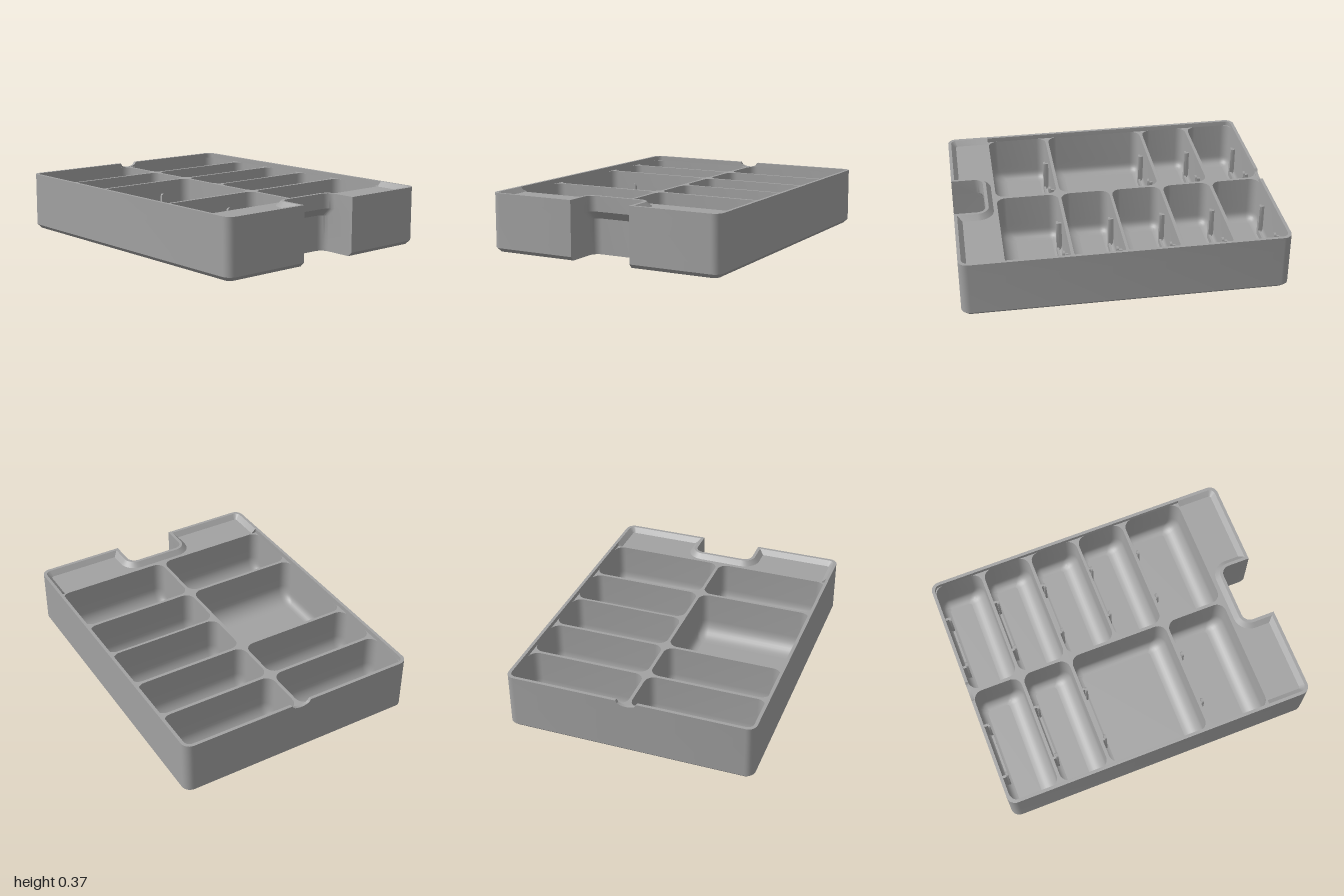
import * as THREE from 'three';
import { toCreasedNormals } from 'three/addons/utils/BufferGeometryUtils.js';

const grey = new THREE.MeshStandardMaterial({ color: 0xa2a2a2 });
grey.name = 'grey plastic';

const TOP = 0.365, DECK = 0.335, FLOOR = 0.03;
const HALF_X = 0.775, HALF_Z = 1;
const P = (x, y, z) => new THREE.Vector3(x, y, z);

function addMesh(parent, name, geometry) {
  const mesh = new THREE.Mesh(geometry, grey);
  mesh.name = name;
  parent.add(mesh);
  return mesh;
}

// Quarter arc in plan, angles in quarter turns
function arc(cx, cz, r, q0, q1, y, n = 7) {
  return Array.from({ length: n + 1 }, (_, i) => {
    const a = (q0 + (q1 - q0) * i / n) * Math.PI / 2;
    return P(cx + r * Math.cos(a), y, cz + r * Math.sin(a));
  });
}

// Skin over rings that share one point count
function loft(rings, closed = true) {
  const n = rings[0].length, index = [];
  for (let j = 0; j < rings.length - 1; j++) {
    for (let i = 0; i < (closed ? n : n - 1); i++) {
      const k = (i + 1) % n;
      const a = j * n + i, b = a + n, c = (j + 1) * n + k, d = j * n + k;
      index.push(a, b, c, a, c, d);
    }
  }
  const g = new THREE.BufferGeometry().setFromPoints(rings.flat());
  g.setIndex(index);
  return toCreasedNormals(g, 0.5);
}

// Flat cap from a ring, facing up or down
function cap(ring, up, holes = []) {
  const s = up ? -1 : 1;
  const flat = r => r.map(p => new THREE.Vector2(p.x, s * p.z));
  const shape = new THREE.Shape(flat(ring));
  shape.holes = holes.map(h => new THREE.Path(flat(h)));
  return new THREE.ShapeGeometry(shape).rotateX(s * Math.PI / 2).translate(0, ring[0].y, 0);
}

// Outer plan with the front notch and, near the top, the dip in the back wall
function outline(y, inset, notchZ, { notchGrow = inset, dip = 0 } = {}) {
  const X = HALF_X - inset, Z = HALF_Z - inset, r = 0.055 - inset * 0.8;
  const w = 0.2 + notchGrow, nz = notchZ - notchGrow, nr = 0.055 + notchGrow;
  const back = Array.from({ length: 13 }, (_, i) => {
    const t = i / 6 - 1;
    return P(t * 0.065, y - dip * Math.sqrt(1 - t * t), -Z);
  });
  return [
    ...back,
    ...arc(X - r, -Z + r, r, -1, 0, y),
    ...arc(X - r, Z - r, r, 0, 1, y),
    P(w, y, Z),
    ...arc(w - nr, nz + nr, nr, 0, -1, y),
    ...arc(-w + nr, nz + nr, nr, -1, -2, y),
    P(-w, y, Z),
    ...arc(-X + r, Z - r, r, 1, 2, y),
    ...arc(-X + r, -Z + r, r, 2, 3, y),
  ];
}

function roundedRect(x0, x1, z0, z1, r, y) {
  return [
    ...arc(x1 - r, z0 + r, r, -1, 0, y),
    ...arc(x1 - r, z1 - r, r, 0, 1, y),
    ...arc(x0 + r, z1 - r, r, 1, 2, y),
    ...arc(x0 + r, z0 + r, r, 2, 3, y),
  ];
}

// Inset of a floor fillet of radius r at a given height
function fillet(r, y) {
  const h = Math.max(0, r - (y - FLOOR));
  return r - Math.sqrt(Math.max(0, r * r - h * h));
}

// Compartment lining: small fillets at sides and back, a large scoop in front
function binRings(x0, x1, z0, z1) {
  const heights = [DECK];
  for (let i = 0; i <= 10; i++) heights.push(FLOOR + 0.11 * (1 - Math.sin(i / 10 * Math.PI / 2)));
  return heights.map(y => {
    const s = fillet(0.05, y), f = fillet(0.11, y);
    return roundedRect(x0 + s, x1 - s, z0 + s, z1 - f, 0.06 - s * 0.8, y);
  });
}

// Card holder: two round-topped posts joined by a low bar, with arms to the wall
function cardHolder(cx, z0) {
  const holder = new THREE.Group();
  const w = 0.185, p = 0.034, h = 0.26, r = p / 2;
  const u = new THREE.Shape();
  u.moveTo(-w, FLOOR);
  u.lineTo(w, FLOOR);
  u.lineTo(w, h - r);
  u.absarc(w - r, h - r, r, 0, Math.PI, false);
  u.lineTo(w - p, 0.075);
  u.lineTo(-w + p, 0.075);
  u.lineTo(-w + p, h - r);
  u.absarc(-w + r, h - r, r, 0, Math.PI, false);
  const front = new THREE.ExtrudeGeometry(u, { depth: 0.014, bevelEnabled: false, curveSegments: 8 });
  addMesh(holder, 'holderFrame', toCreasedNormals(front, 0.5)).position.z = 0.021;
  for (const side of [-1, 1]) {
    const arm = addMesh(holder, 'holderArm', new THREE.BoxGeometry(0.016, h - r - FLOOR, 0.022));
    arm.position.set(side * (w - 0.008), (h - r + FLOOR) / 2, 0.011);
  }
  holder.position.set(cx, 0, z0);
  holder.name = 'cardHolder';
  return holder;
}

export function createModel() {
  const model = new THREE.Group();
  model.name = 'compartmentTray';

  // Outer shell, from the bottom chamfer over the rim and down its inside
  const base = outline(0, 0.025, 0.75, { notchGrow: 0 });
  addMesh(model, 'outerShell', loft([
    base,
    outline(0.025, 0, 0.75),
    outline(0.22, 0, 0.75),
    outline(0.27, 0, 0.8),
    outline(TOP, 0, 0.8, { dip: 0.03 }),
    outline(TOP, 0.02, 0.8, { dip: 0.03 }),
    outline(DECK, 0.02, 0.8),
  ]));
  addMesh(model, 'underside', cap(base, false));

  // Sloped lip around the front deck, closed at both ends
  const lip = (y, inset) => {
    const x = HALF_X - inset, e = HALF_X - 0.02, z = 0.73;
    return [P(e, y, z), P(x, y, z), ...outline(y, inset, 0.8).filter(p => p.z > 0.5), P(-x, y, z), P(-e, y, z)];
  };
  addMesh(model, 'frontLip', loft([lip(TOP, 0.02), lip(DECK, 0.05)], false));

  // Compartments with card holders on their back walls
  const rightRows = [[-0.98, -0.67], [-0.65, -0.345], [-0.325, 0.315], [0.335, 0.725]];
  const leftRows = [[-0.98, -0.67], [-0.65, -0.345], [-0.325, -0.012], [0.005, 0.315], [0.335, 0.725]];
  const holes = [];
  for (const [side, rows] of [[-1, rightRows], [1, leftRows]]) {
    for (const [z0, z1] of rows) {
      const x0 = side < 0 ? -0.755 : 0.01;
      const rings = binRings(x0, x0 + 0.745, z0, z1);
      holes.push(rings[0]);
      addMesh(model, 'compartment', loft(rings));
      addMesh(model, 'compartmentFloor', cap(rings[rings.length - 1], true));
      model.add(cardHolder(side * 0.385, z0));
    }
  }

  // Front deck and divider tops in one sheet
  addMesh(model, 'deckAndDividers', cap(outline(DECK, 0.015, 0.8), true, holes));
  return model;
}
